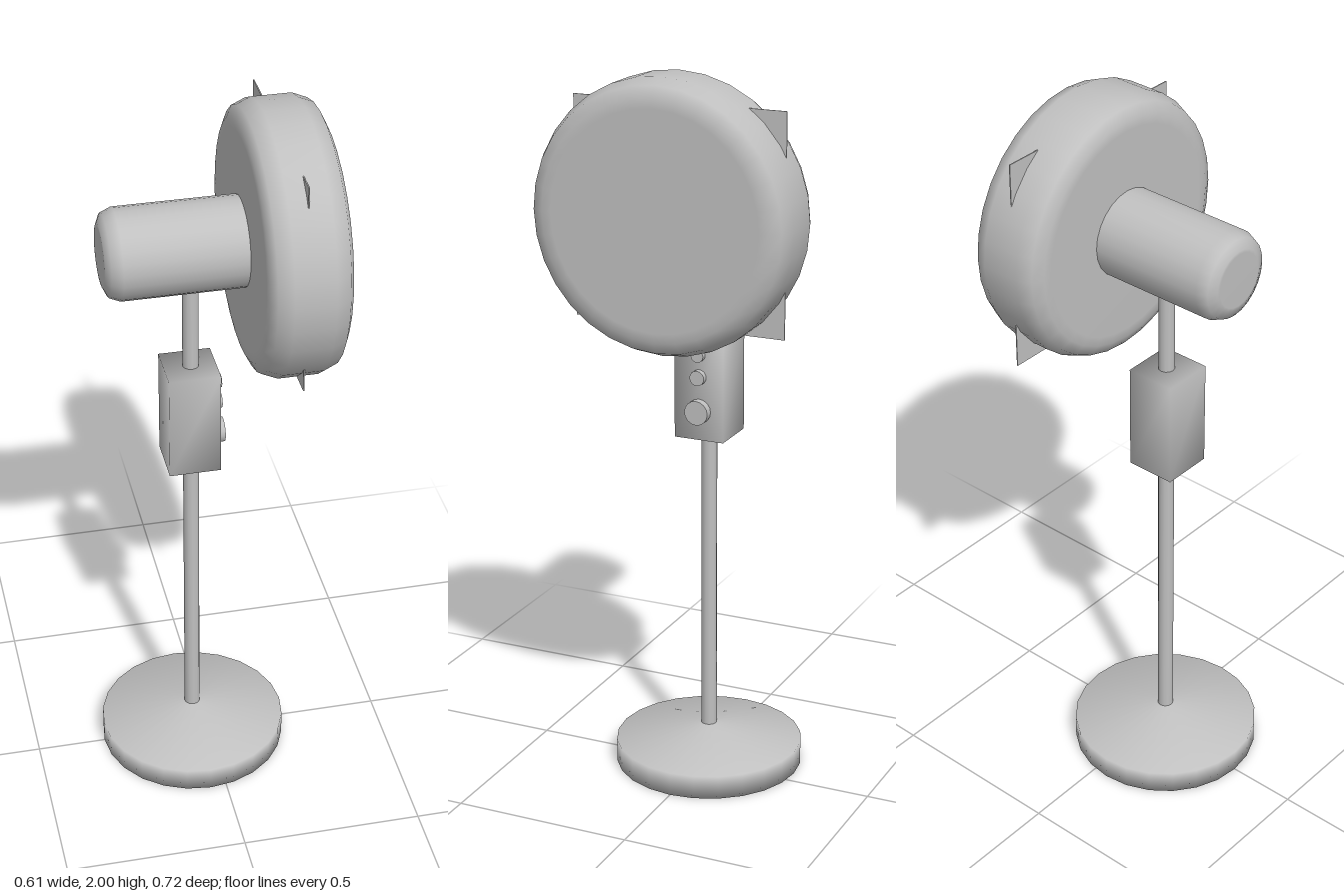
import * as THREE from 'three';
import { mergeVertices } from 'three/addons/utils/BufferGeometryUtils.js';

export function createModel() {
  const grey = new THREE.MeshStandardMaterial({ color: 0xc0c0c0 });
  grey.name = 'grey';
  const fan = new THREE.Group();
  fan.name = 'standFan';

  const POLE_X = -0.045;
  const HEAD_Y = 1.637;

  function add(name, geometry, x, y, z = 0) {
    const mesh = new THREE.Mesh(geometry, grey);
    mesh.name = name;
    mesh.position.set(x, y, z);
    fan.add(mesh);
    return mesh;
  }

  // Smooth turned shape from [radius, height] pairs
  const turned = (profile, sides) =>
    new THREE.LatheGeometry(profile.map(([r, h]) => new THREE.Vector2(r, h)), sides);

  // Turned shape with its axis along +x
  const turnedX = (profile, sides) => turned(profile, sides).rotateZ(-Math.PI / 2);

  // Base: low drum rising as a shallow cone to the pole
  add('base', turned([[0, 0], [0.262, 0], [0.262, 0.066], [0.022, 0.11]], 24), POLE_X, 0);

  // Pole
  add('pole', new THREE.CylinderGeometry(0.022, 0.022, 1.47, 12, 1, true), POLE_X, 0.835);

  // Control box with softly shaded edges
  let box = new THREE.BoxGeometry(0.14, 0.3, 0.143);
  box.deleteAttribute('normal');
  box.deleteAttribute('uv');
  box = mergeVertices(box);
  box.computeVertexNormals();
  add('controlBox', box, -0.048, 1.125, 0.001);

  // Two buttons and a dial on the box
  const knobs = [
    ['upperButton', 1.215, 0.018, 0.037],
    ['lowerButton', 1.153, 0.021, 0.038],
    ['dial', 1.057, 0.034, 0.044],
  ];
  for (const [name, y, radius, tip] of knobs) {
    const length = tip - 0.01;
    const knob = new THREE.CylinderGeometry(radius, radius, length, 16).rotateZ(-Math.PI / 2);
    add(name, knob, 0.01 + length / 2, y);
  }

  // Motor housing with a rounded back end
  add('motorHousing', turnedX([
    [0, -0.28], [0.075, -0.28], [0.083, -0.279], [0.109, -0.267], [0.121, -0.238], [0.121, 0.095],
  ], 24), 0, HEAD_Y);

  // Fan head: thick disc with rounded rims
  add('fanHead', turnedX([
    [0, 0.087], [0.29, 0.087], [0.316, 0.088], [0.346, 0.103], [0.362, 0.142],
    [0.362, 0.249], [0.346, 0.288], [0.316, 0.302], [0.29, 0.303], [0, 0.303],
  ], 32), 0, HEAD_Y);

  // Thin square plate whose corners poke out of the head
  add('bladePlate', new THREE.BoxGeometry(0.003, 0.587, 0.592), 0.192, 1.633, -0.021);

  return fan;
}
